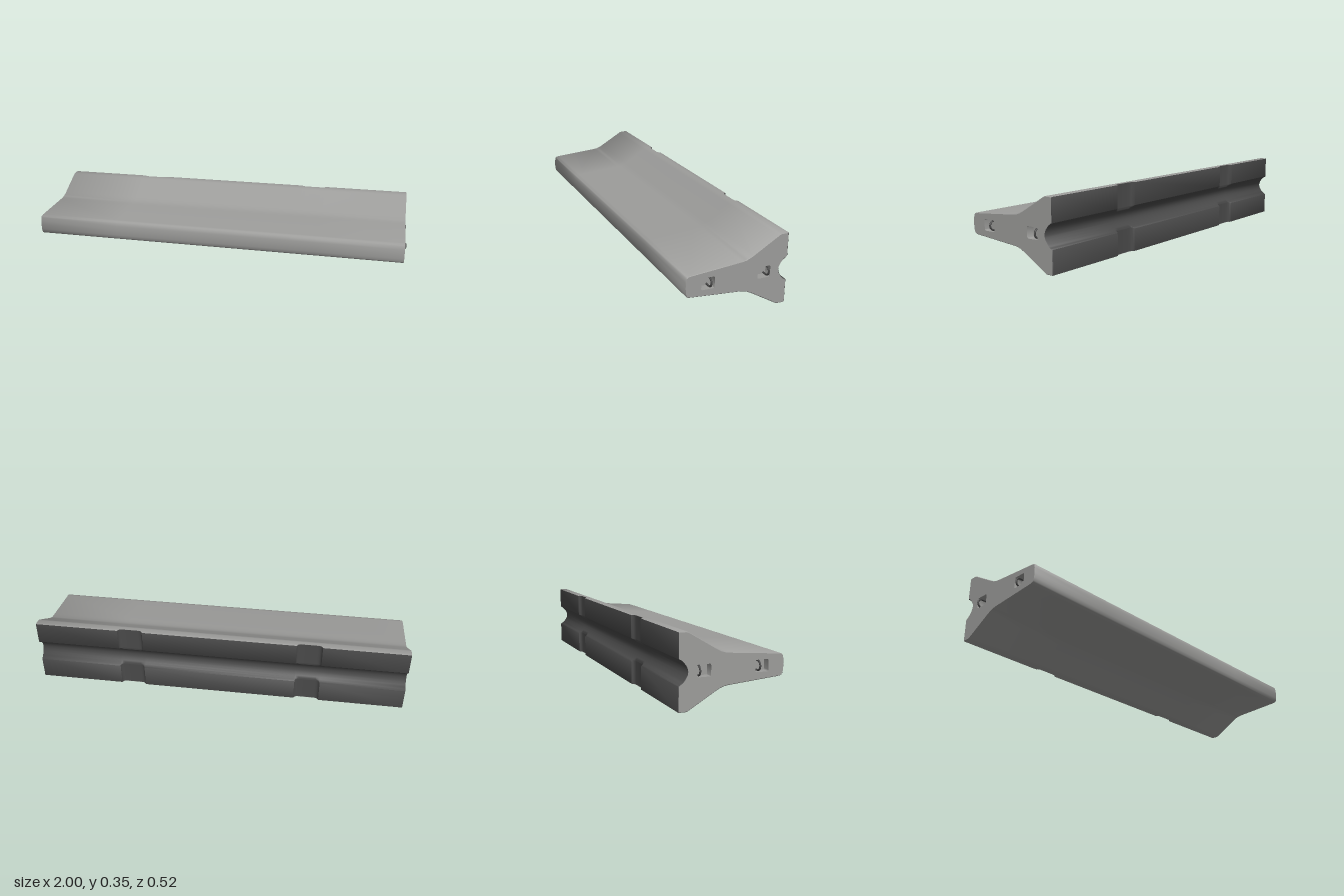
import * as THREE from 'three';
import { toCreasedNormals } from 'three/addons/utils/BufferGeometryUtils.js';

const HALF = 0.989, MID = 0.175, DEPTH = 0.04, BEVEL = 0.003;

function material(name, color) {
  const m = new THREE.MeshStandardMaterial({ color });
  m.name = name;
  return m;
}
const concrete = material('concrete', 0x9c9c9a);
const dark = material('darkGrey', 0x4a4a4a);

// Half cross-section [z, height from the middle], from front face to back groove
const HALF_PROFILE = [
  [0.2585, 0], [0.257, 0.025], [0.2535, 0.041], [0.2495, 0.047], [0.242, 0.051], [0.23, 0.053],
  [0, 0.072], [-0.022, 0.074], [-0.04, 0.0775], [-0.056, 0.083], [-0.075, 0.0925],
  [-0.203, 0.168], [-0.212, 0.173], [-0.222, 0.175], [-0.24, 0.175], [-0.253, 0.175],
  [-0.2565, 0.1735], [-0.2575, 0.17], [-0.2575, 0.059], [-0.255, 0.056], [-0.248, 0.0525],
  [-0.24, 0.0465], [-0.231, 0.0375], [-0.222, 0.025], [-0.216, 0.012], [-0.214, 0],
];
// Outline vertex where the dark back face begins
const BACK = 16;

// Full closed outline in the end plane: u = -z, v = y, counterclockwise
function outline(inset = 0) {
  const lower = HALF_PROFILE.map(([z, h]) => new THREE.Vector2(-z, MID - h));
  const upper = HALF_PROFILE.slice(1, -1).reverse().map(([z, h]) => new THREE.Vector2(-z, MID + h));
  const pts = [...lower, ...upper], n = pts.length;
  return pts.map((p, i) => {
    const t = pts[(i + 1) % n].clone().sub(pts[(i + n - 1) % n]).normalize();
    return new THREE.Vector2(p.x - t.y * inset, p.y + t.x * inset);
  });
}

// Skin between successive closed rings of Vector3, over the columns from..to
function loft(rings, crease, from = 0, to = rings[0].length) {
  const n = rings[0].length, pos = [], idx = [];
  rings.forEach(r => r.forEach(p => pos.push(p.x, p.y, p.z)));
  for (let i = 0; i < rings.length - 1; i++) {
    for (let j = from; j < to; j++) {
      const a = i * n + j % n, b = i * n + (j + 1) % n, c = b + n, d = a + n;
      idx.push(a, b, c, a, c, d);
    }
  }
  const g = new THREE.BufferGeometry();
  g.setAttribute('position', new THREE.Float32BufferAttribute(pos, 3));
  g.setIndex(idx);
  return toCreasedNormals(g, crease);
}

function roundedRect(cx, cy, w, h, r) {
  const pts = [];
  [[1, 1], [-1, 1], [-1, -1], [1, -1]].forEach(([sx, sy], q) => {
    for (let i = 0; i <= 4; i++) {
      const a = (q + i / 4) * Math.PI / 2;
      pts.push(new THREE.Vector2(cx + sx * (w / 2 - r) + r * Math.cos(a), cy + sy * (h / 2 - r) + r * Math.sin(a)));
    }
  });
  return pts;
}

function mesh(name, geometry, mat, parent) {
  const m = new THREE.Mesh(geometry, mat);
  m.name = name;
  parent.add(m);
  return m;
}

// Long body with bevelled ends; two shallow slots cut into the dark back face
function addBody(group) {
  const slot = [[-0.067, 0], [-0.065, 0.005], [-0.06, 0.012], [-0.053, 0.016], [-0.044, 0.0175]];
  const full = [...slot, ...slot.map(([x, d]) => [-x, d]).reverse()];
  const stations = [[-HALF, 0, BEVEL], [-HALF + BEVEL, 0, 0]];
  for (const cx of [-0.476, 0.474]) full.forEach(([x, d]) => stations.push([cx + x, d, 0]));
  stations.push([HALF - BEVEL, 0, 0], [HALF, 0, BEVEL]);
  const rings = stations.map(([x, d, inset]) =>
    outline(inset).map(p => new THREE.Vector3(Math.min(p.x, 0.2575 - d), p.y, x)));
  const n = rings[0].length;
  mesh('barrierBody', loft(rings, 0.9, n - BACK, n + BACK), concrete, group).rotation.y = Math.PI / 2;
  mesh('backFace', loft(rings, 0.9, BACK, n - BACK), dark, group).rotation.y = Math.PI / 2;
}

// End face with two recessed pockets, each holding a lifting loop
function addEnd(group, side) {
  const end = new THREE.Group();
  end.name = side > 0 ? 'leftEnd' : 'rightEnd';
  end.rotation.y = side * Math.PI / 2;
  end.position.x = side * HALF;
  group.add(end);

  const face = new THREE.Shape(outline(BEVEL).map(p => new THREE.Vector2(p.x * side, p.y)));
  for (const [pocketZ, loopZ] of [[0.147, 0.134], [-0.136, -0.158]]) {
    const rim = roundedRect(-pocketZ * side, MID + 0.001, 0.066, 0.056, 0.007);
    face.holes.push(new THREE.Path(rim));

    const walls = [0, -DEPTH].map(w => rim.map(p => new THREE.Vector3(p.x, p.y, w)));
    mesh('pocketWalls', loft(walls, 0.6), concrete, end);
    mesh('pocketFloor', new THREE.ShapeGeometry(new THREE.Shape(rim)), concrete, end).position.z = -DEPTH;

    // Bent bar standing out of the pocket
    const path = [new THREE.Vector3(0, -0.022, -DEPTH)];
    for (let i = 0; i <= 8; i++) {
      const a = -Math.PI / 2 + i * Math.PI / 8;
      path.push(new THREE.Vector3(0, 0.022 * Math.sin(a), -0.0155 + 0.022 * Math.cos(a)));
    }
    path.push(new THREE.Vector3(0, 0.022, -DEPTH));
    const bar = new THREE.TubeGeometry(new THREE.CatmullRomCurve3(path), 32, 0.0045, 8);
    mesh('liftingLoop', bar, dark, end).position.set(-loopZ * side, MID + 0.001, 0);
  }
  mesh('endFace', new THREE.ShapeGeometry(face), concrete, end);
}

export function createModel() {
  const group = new THREE.Group();
  group.name = 'roadBarrier';
  addBody(group);
  addEnd(group, 1);
  addEnd(group, -1);
  return group;
}
